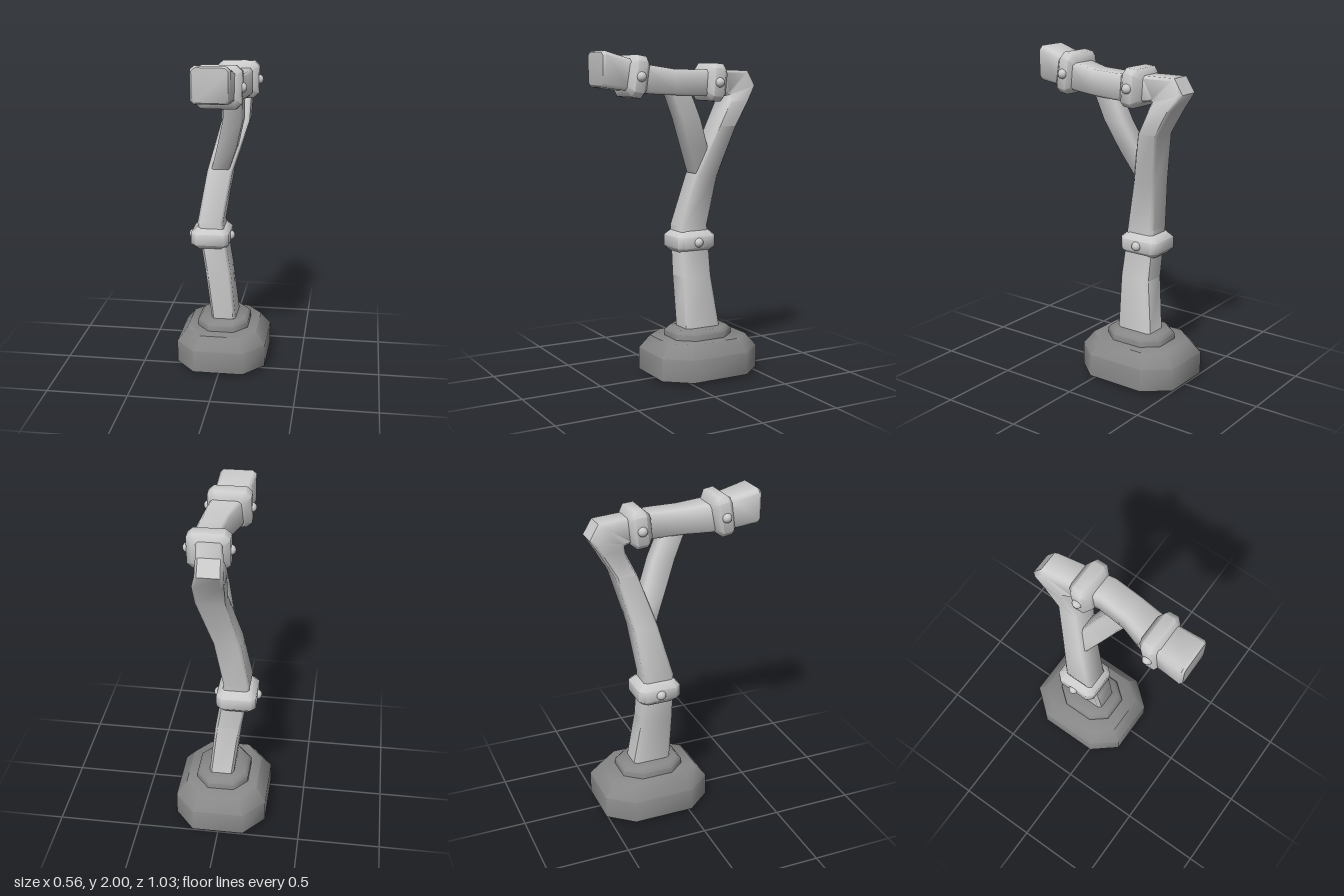
import * as THREE from 'three';
import { toCreasedNormals } from 'three/addons/utils/BufferGeometryUtils.js';

const wood = new THREE.MeshStandardMaterial({ color: 0xcccccc });
const stone = new THREE.MeshStandardMaterial({ color: 0x888888 });

// Skin through chamfered rectangles. Each ring: [x0, x1, zBack, yBack, zFront, yFront];
// cut is the chamfer as a fraction of the ring's sides.
function loft(rings, cut) {
  const section = [
    [cut, 0], [1 - cut, 0], [1, cut], [1, 1 - cut],
    [1 - cut, 1], [cut, 1], [0, 1 - cut], [0, cut],
  ];
  const n = section.length;
  const pos = [];
  const index = [];
  for (const [x0, x1, zb, yb, zf, yf] of rings) {
    for (const [s, t] of section) {
      pos.push(x0 + (x1 - x0) * s, yf + (yb - yf) * t, zf + (zb - zf) * t);
    }
  }
  for (let i = 0; i < rings.length - 1; i++) {
    for (let j = 0; j < n; j++) {
      const a = i * n + j;
      const b = i * n + (j + 1) % n;
      index.push(a, b, b + n, a, b + n, a + n);
    }
  }
  const last = (rings.length - 1) * n;
  for (let j = 1; j < n - 1; j++) {
    index.push(0, j + 1, j, last, last + j, last + j + 1);
  }
  const geo = new THREE.BufferGeometry();
  geo.setAttribute('position', new THREE.Float32BufferAttribute(pos, 3));
  geo.setIndex(index);
  return toCreasedNormals(geo, 0.9);
}

// Horizontal ring for the lofts that stand upright
const level = (y, x0, x1, zb, zf) => [x0, x1, zb, y, zf, y];

function part(name, geometry, material = wood) {
  const mesh = new THREE.Mesh(geometry, material);
  mesh.name = name;
  return mesh;
}

// Bevelled band with a round peg on each side
function collar(name, [w, h, d], position, tilt) {
  const group = new THREE.Group();
  group.name = name;
  const bevel = 0.035;
  const ring = (y, inset) =>
    level(y, inset - w / 2, w / 2 - inset, inset - d / 2, d / 2 - inset);
  group.add(part('band', loft([
    ring(-h / 2, bevel), ring(bevel - h / 2, 0), ring(h / 2 - bevel, 0), ring(h / 2, bevel),
  ], 0.13)));
  for (const side of [-1, 1]) {
    const peg = part('peg', new THREE.SphereGeometry(0.03, 16, 12));
    peg.position.x = side * (w / 2 - 0.004);
    group.add(peg);
  }
  group.position.set(...position);
  group.rotation.x = tilt;
  return group;
}

export function createModel() {
  const model = new THREE.Group();
  model.name = 'bentPost';

  // Eight-sided base and plinth
  model.add(part('base', loft([
    level(0.02, -0.28, 0.28, -0.515, 0.16),
    level(0.16, -0.28, 0.28, -0.515, 0.16),
    level(0.24, -0.22, 0.22, -0.45, 0.1),
  ], 0.222), stone));
  model.add(part('plinth', loft([
    level(0.2, -0.16, 0.16, -0.37, 0.02),
    level(0.275, -0.16, 0.16, -0.37, 0.02),
    level(0.3, -0.14, 0.14, -0.345, -0.005),
  ], 0.25), stone));

  // Crooked post that turns at the elbow and runs forward as the arm
  model.add(part('postAndArm', loft([
    level(0, -0.06, 0.06, -0.345, -0.11),
    level(0.015, -0.075, 0.08, -0.365, -0.09),
    level(0.3, -0.07, 0.083, -0.29, -0.053),
    level(0.62, -0.11, 0.05, -0.248, -0.048),
    level(0.93, -0.16, 0, -0.248, -0.06),
    level(1.24, -0.11, 0.05, -0.292, -0.138),
    level(1.55, -0.03, 0.143, -0.368, -0.232),
    [-0.035, 0.145, -0.455, 1.7, -0.305, 1.7],
    [-0.04, 0.12, -0.515, 1.795, -0.31, 1.735],
    [-0.035, 0.12, -0.46, 1.885, -0.305, 1.74],
    [-0.005, 0.148, -0.28, 1.888, -0.26, 1.735],
    [0.02, 0.178, -0.1, 1.89, -0.1, 1.735],
    [0.002, 0.165, 0.08, 1.895, 0.07, 1.742],
    [-0.05, 0.14, 0.24, 1.92, 0.22, 1.75],
    [-0.085, 0.125, 0.35, 1.955, 0.35, 1.768],
    [-0.102, 0.12, 0.5, 1.998, 0.5, 1.788],
    [-0.092, 0.11, 0.515, 1.99, 0.515, 1.798],
  ], 0.1)));

  // Slanted brace under the arm
  model.add(part('brace', loft([
    level(1.26, -0.08, 0.03, -0.25, -0.135),
    level(1.42, -0.035, 0.085, -0.2, -0.06),
    level(1.6, 0.01, 0.13, -0.122, 0.02),
    level(1.76, 0.025, 0.135, -0.05, 0.09),
  ], 0.1)));

  // Pegged collars on the post and the arm
  const quarter = Math.PI / 2;
  model.add(collar('postCollar', [0.24, 0.14, 0.265], [-0.08, 0.83, -0.16], 0));
  model.add(collar('rearArmCollar', [0.25, 0.135, 0.225], [0.08, 1.815, -0.205], quarter - 0.09));
  model.add(collar('frontArmCollar', [0.265, 0.13, 0.245], [0.03, 1.85, 0.295], quarter - 0.16));

  return model;
}
